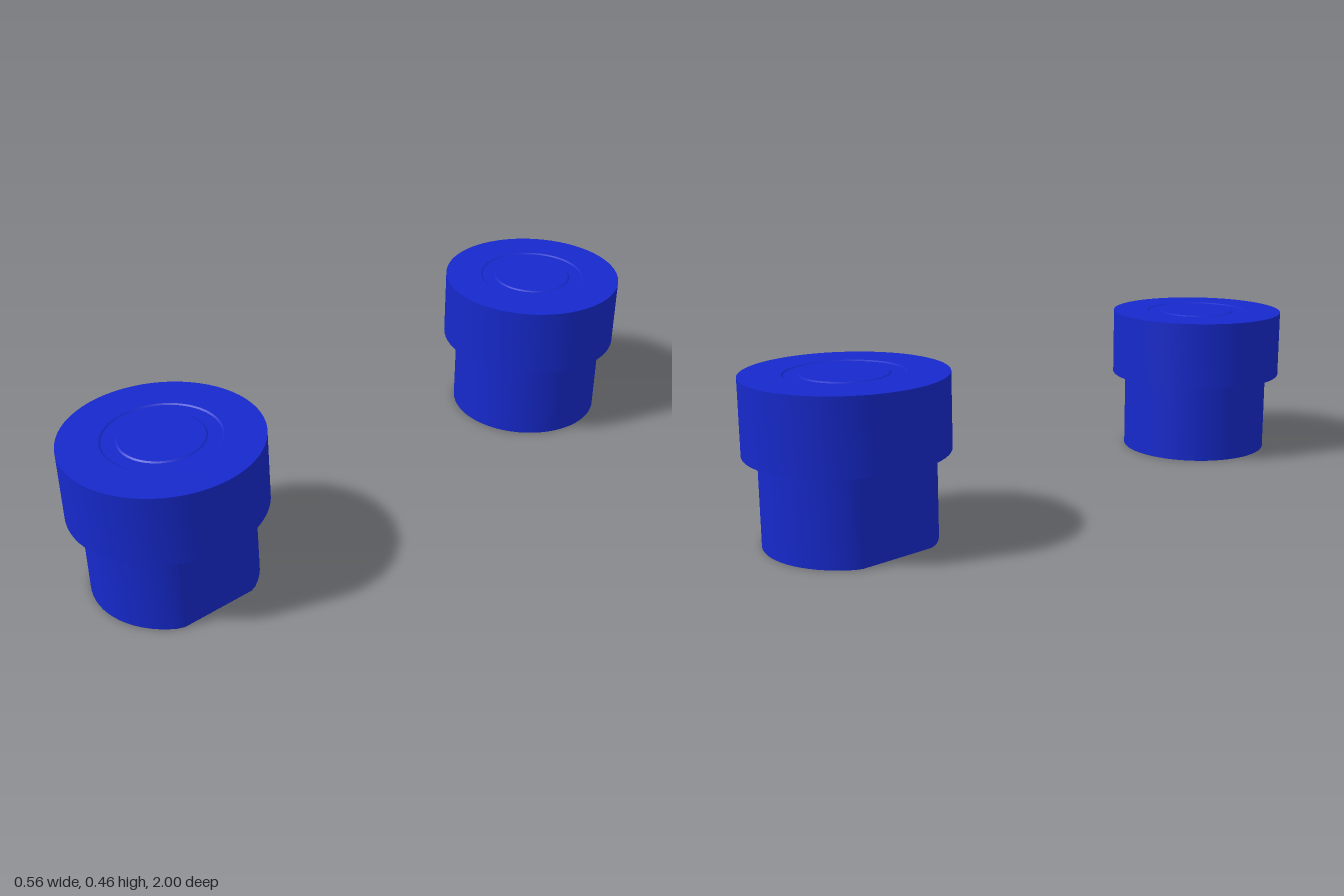
import * as THREE from 'three';
import { toCreasedNormals } from 'three/addons/utils/BufferGeometryUtils.js';

const CENTRE_X = 0.003, CENTRE_Z = 0.7215;
const CAP_R = 0.279, STEM_R = 0.2375, FLAT_X = 0.206;
const STEP_Y = 0.252, TOP_Y = 0.463;

const turned = (profile) =>
  new THREE.LatheGeometry(profile.map(([r, y]) => new THREE.Vector2(r, y)), 64);

function createPeg(material) {
  const peg = new THREE.Group();
  const add = (name, geometry) => {
    const mesh = new THREE.Mesh(toCreasedNormals(geometry, 0.4), material);
    mesh.name = name;
    peg.add(mesh);
  };

  // Wide cap with a faint ring groove around the centre of its top
  add('cap', turned([
    [0.2, STEP_Y], [CAP_R, STEP_Y], [CAP_R, TOP_Y], [0.165, TOP_Y],
    [0.16, TOP_Y - 0.003], [0.122, TOP_Y - 0.003], [0.117, TOP_Y], [0, TOP_Y],
  ]));

  // Narrower stem, grooved underneath, with one side planed flat
  const stem = turned([
    [0, 0], [0.117, 0], [0.122, 0.003], [0.16, 0.003],
    [0.165, 0], [STEM_R, 0], [STEM_R, STEP_Y],
  ]);
  const p = stem.attributes.position;
  for (let i = 0; i < p.count; i++) p.setX(i, Math.min(p.getX(i), FLAT_X));
  add('stem', stem);
  return peg;
}

export function createModel() {
  const model = new THREE.Group();
  model.name = 'pegPair';
  const material = new THREE.MeshStandardMaterial({ color: 0x1629cc });

  // The back peg is the front one turned half way round
  for (const [name, side] of [['frontPeg', 1], ['backPeg', -1]]) {
    const peg = createPeg(material);
    peg.name = name;
    peg.position.set(-side * CENTRE_X, 0, side * CENTRE_Z);
    peg.rotation.y = side > 0 ? 0 : Math.PI;
    model.add(peg);
  }
  return model;
}
